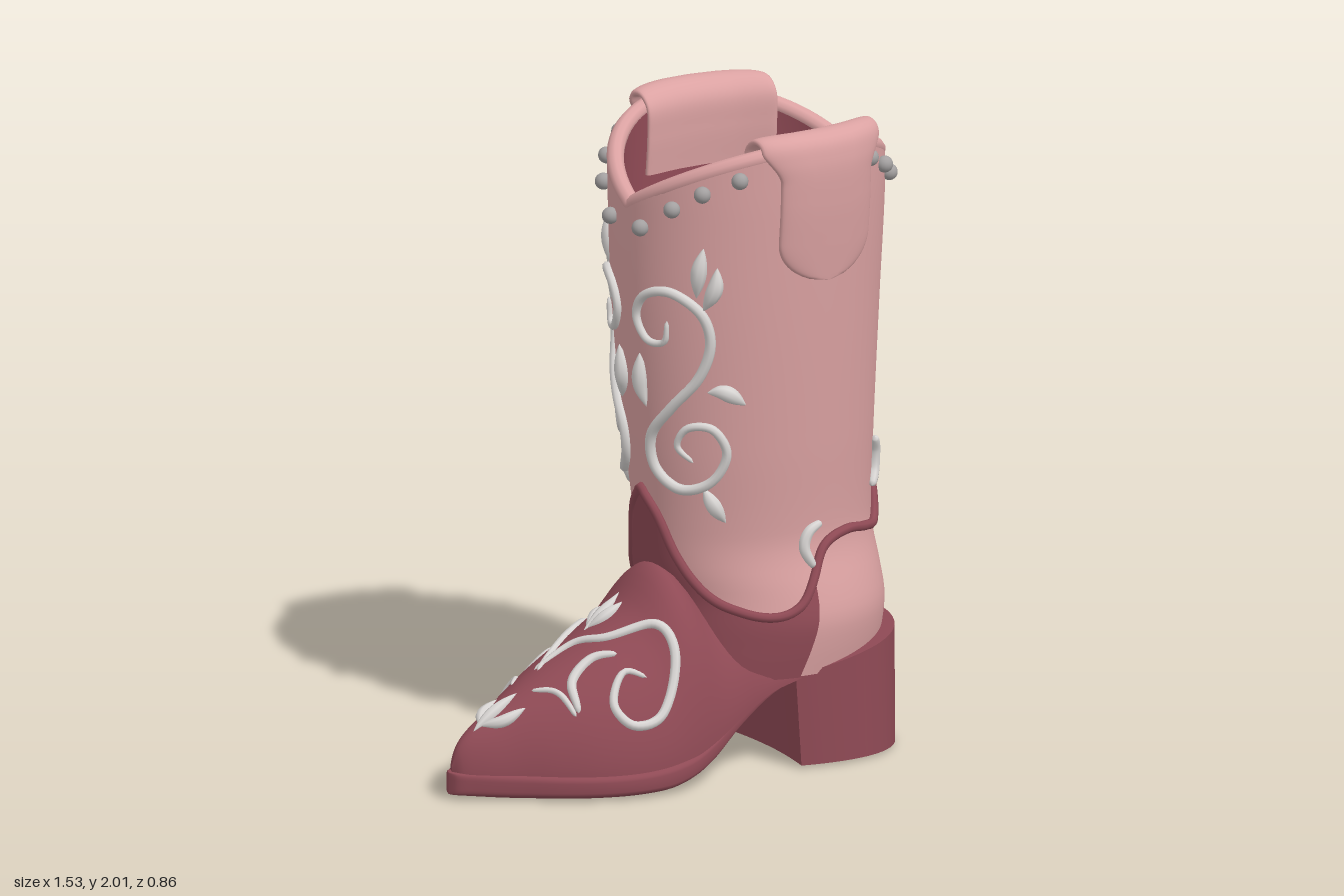
import * as THREE from 'three';
import { toCreasedNormals } from 'three/addons/utils/BufferGeometryUtils.js';

const mat = (name, color) => Object.assign(new THREE.MeshStandardMaterial({ color }), { name });
const V = (x, y, z) => new THREE.Vector3(x, y, z);
const RAD = Math.PI / 180;
const spow = (a, p) => Math.sign(a) * Math.abs(a) ** p;

// Smooth interpolation through [position, value] pairs
function smooth(p) {
  const slope = i => {
    const a = p[Math.max(i - 1, 0)], b = p[Math.min(i + 1, p.length - 1)];
    return (b[1] - a[1]) / (b[0] - a[0]);
  };
  return x => {
    x = Math.min(Math.max(x, p[0][0]), p[p.length - 1][0]);
    let i = 0;
    while (i < p.length - 2 && x > p[i + 1][0]) i++;
    const d = p[i + 1][0] - p[i][0], t = (x - p[i][0]) / d;
    return p[i][1] * (1 + 2 * t) * (1 - t) ** 2 + slope(i) * d * t * (1 - t) ** 2
      + p[i + 1][1] * t * t * (3 - 2 * t) + slope(i + 1) * d * t * t * (t - 1);
  };
}

// Surface from a function of u, v in 0..1; wrap closes it along u
function surface(fn, nu, nv, wrap = false) {
  const pos = [], idx = [], cols = wrap ? nu : nu + 1;
  for (let j = 0; j <= nv; j++)
    for (let i = 0; i < cols; i++) pos.push(...fn(i / nu, j / nv).toArray());
  for (let j = 0; j < nv; j++)
    for (let i = 0; i < nu; i++) {
      const a = j * cols + i, b = j * cols + (i + 1) % cols;
      idx.push(a, b, a + cols, b, b + cols, a + cols);
    }
  const g = new THREE.BufferGeometry();
  g.setAttribute('position', new THREE.Float32BufferAttribute(pos, 3));
  g.setIndex(idx);
  g.computeVertexNormals();
  return g;
}

// Tube of varying radius along a curve
function taperTube(curve, radius, n) {
  const f = curve.computeFrenetFrames(n);
  return surface((u, v) => {
    const i = Math.round(v * n), a = u * 2 * Math.PI, r = radius(v);
    return curve.getPointAt(v).addScaledVector(f.normals[i], r * Math.cos(a))
      .addScaledVector(f.binormals[i], r * Math.sin(a));
  }, 8, n, true);
}

// Leg: front x, back x and half depth by height
const front = smooth([[0.29, -0.03], [0.5, 0], [0.62, -0.02], [0.8, -0.04], [1, -0.065], [1.4, -0.1], [1.75, -0.11], [1.96, -0.11]]);
const back = smooth([[0.29, 0.735], [0.38, 0.75], [0.46, 0.755], [0.55, 0.745], [0.7, 0.725], [1, 0.73], [1.4, 0.745], [1.75, 0.76], [1.96, 0.755]]);
const depth = smooth([[0.29, 0.345], [0.38, 0.36], [0.46, 0.365], [0.55, 0.345], [0.65, 0.315], [0.72, 0.307], [1, 0.33], [1.4, 0.36], [1.75, 0.38], [1.96, 0.385]]);
// Point on the leg; angle runs from the toe side round by +z
function leg(a, y, off = 0) {
  const f = front(y), b = back(y);
  return V((f + b) / 2 - ((b - f) / 2 + off) * Math.cos(a), y, (depth(y) + off) * Math.sin(a));
}
const rimY = a => 1.75 + 0.2 * Math.abs(Math.sin(a));
const seam = smooth([[0, 0.86], [12, 0.78], [22, 0.66], [34, 0.55], [50, 0.5], [66, 0.485], [78, 0.515], [88, 0.59], [98, 0.68], [113, 0.71], [130, 0.695], [145, 0.69], [162, 0.77], [180, 0.85]]);

// Foot and sole profiles along x
const soleW = smooth([[-0.77, 0], [-0.76, 0.028], [-0.72, 0.062], [-0.6, 0.15], [-0.5, 0.225], [-0.4, 0.285], [-0.3, 0.323], [-0.2, 0.338], [-0.1, 0.333], [0, 0.315], [0.1, 0.302], [0.2, 0.315], [0.42, 0.32]]);
const soleBottom = smooth([[-0.77, 0.012], [-0.6, 0], [-0.2, 0], [-0.1, 0.02], [0, 0.065], [0.1, 0.14], [0.2, 0.22], [0.3, 0.262], [0.42, 0.27]]);
const soleTop = smooth([[-0.77, 0.08], [-0.3, 0.085], [-0.1, 0.108], [0, 0.145], [0.1, 0.205], [0.2, 0.268], [0.3, 0.295], [0.42, 0.31]]);
const footW = smooth([[-0.757, 0], [-0.745, 0.03], [-0.7, 0.068], [-0.6, 0.135], [-0.5, 0.208], [-0.4, 0.268], [-0.3, 0.306], [-0.2, 0.322], [-0.1, 0.32], [0, 0.314], [0.1, 0.315], [0.2, 0.335], [0.3, 0.338], [0.36, 0.3]]);
const footTop = smooth([[-0.757, 0.1], [-0.74, 0.15], [-0.7, 0.195], [-0.6, 0.255], [-0.45, 0.34], [-0.3, 0.42], [-0.15, 0.51], [-0.06, 0.61], [-0.01, 0.62], [0.06, 0.55], [0.15, 0.51], [0.36, 0.5]]);
const footZ = smooth([[-0.77, 0.035], [-0.1, 0.033], [0.1, 0.015], [0.25, 0], [0.42, 0]]);
function vamp(x, z) {
  const u = Math.min(Math.abs((z - footZ(x)) / footW(x)), 0.98), b = soleTop(x) - 0.015;
  return V(x, b + (footTop(x) - b) * (1 - u * u) ** 0.6, z);
}

export function createModel() {
  const boot = new THREE.Group();
  boot.name = 'boot';
  const pink = mat('pink leather', 0xdba2a2), red = mat('dark red leather', 0x8f4a55);
  const white = mat('white embroidery', 0xd8d5d3), metal = mat('grey stud', 0xa3a0a0);
  const add = (name, geo, material) => {
    const m = new THREE.Mesh(geo, material);
    m.name = name;
    boot.add(m);
    return m;
  };
  const TAU = Math.PI * 2;

  // Shaft, lining and rolled rim
  add('shaft', surface((u, v) => leg(u * TAU, 0.29 + (rimY(u * TAU) - 0.29) * v), 96, 60, true), pink);
  add('lining', surface((u, v) => leg(u * TAU, rimY(u * TAU) + (0.55 - rimY(u * TAU)) * v, -0.05), 96, 24, true), red);
  const floor = add('insole', new THREE.CircleGeometry(1, 48).rotateX(-Math.PI / 2).scale(0.335, 1, 0.3), red);
  floor.position.set(0.36, 0.56, 0);
  const loop = fn => new THREE.CatmullRomCurve3(Array.from({ length: 120 }, (_, i) => fn(i / 120 * TAU)), true);
  add('rim', new THREE.TubeGeometry(loop(a => leg(a, rimY(a), -0.025)), 240, 0.027, 10, true), pink);

  // Vamp collar and the piping along the seam
  const seamY = a => seam(Math.abs(a > Math.PI ? a - TAU : a) / RAD);
  add('vampCollar', surface((u, v) => {
    const a = (u * 2 - 1) * (81 + 7 * v) * RAD;
    return leg(a, 0.29 + (seamY(a) - 0.29) * v, 0.012);
  }, 80, 24), Object.assign(red.clone(), { name: 'dark red collar', side: THREE.DoubleSide }));
  add('seamPiping', new THREE.TubeGeometry(loop(a => leg(a, seamY(a), 0.008)), 240, 0.015, 8, true), red);

  // Foot, sole and heel
  add('vamp', surface((u, v) => {
    const x = -0.757 + 1.117 * v ** 1.5, a = u * Math.PI, b = soleTop(x) - 0.015;
    return V(x, b + (footTop(x) - b) * Math.abs(Math.sin(a)) ** 1.2, footZ(x) - Math.max(footW(x), 0) * Math.cos(a));
  }, 40, 60), red);
  add('sole', surface((u, v) => {
    const x = -0.77 + 1.19 * v ** 1.5, a = u * TAU, lo = soleBottom(x), hi = soleTop(x);
    return V(x, (lo + hi) / 2 + (hi - lo) / 2 * spow(Math.sin(a), 0.5),
      footZ(x) - Math.max(soleW(x), 0) * spow(Math.cos(a), 0.3));
  }, 48, 60, true), red);
  const outline = new THREE.Shape();
  outline.moveTo(0.29, -0.33);
  outline.bezierCurveTo(0.48, -0.38, 0.76, -0.39, 0.76, 0);
  outline.bezierCurveTo(0.76, 0.39, 0.48, 0.38, 0.29, 0.33);
  outline.quadraticCurveTo(0.37, 0, 0.29, -0.33);
  const heel = new THREE.ExtrudeGeometry(outline, { depth: 1, bevelEnabled: false, curveSegments: 24 }).rotateX(Math.PI / 2);
  const hp = heel.attributes.position;
  for (let i = 0; i < hp.count; i++) {
    const x = hp.getX(i), h = hp.getY(i) + 1;
    hp.setXYZ(i, x + (1 - h) * 0.02 * (0.76 - x) / 0.47, 0.005 + h * (0.287 + (x - 0.29) * 0.19), hp.getZ(i));
  }
  add('heel', toCreasedNormals(heel, 0.7), red);

  // Pull straps folded over the rim
  for (const s of [1, -1]) {
    const path = new THREE.CatmullRomCurve3([[1.74, 0.31], [1.86, 0.3], [1.95, 0.305], [1.983, 0.345], [1.975, 0.39],
      [1.92, 0.408], [1.8, 0.408], [1.66, 0.396], [1.54, 0.382]].map(([y, z]) => V(0, y, s * z)));
    add('pullStrap', surface((u, v) => {
      const p = path.getPointAt(v), t = path.getTangentAt(v), a = u * TAU, out = v > 0.45;
      let w = 0.168 + 0.06 * THREE.MathUtils.smoothstep(p.y, 1.86, 1.98);
      if (out && p.y < 1.67) w *= Math.sqrt(Math.max(0, 1 - ((1.67 - p.y) / 0.13) ** 2));
      if (!out) w = 0.22;
      const h = 0.019 * spow(Math.sin(a), 0.7);
      const x = 0.365 + w * spow(Math.cos(a), 0.5);
      const bend = 0.39 * (1 - Math.sqrt(1 - ((x - 0.325) / 0.46) ** 2));
      return V(x, p.y + t.z * h, p.z - t.y * h - s * bend);
    }, 40, 70, true), pink);
  }

  // Embroidery: flat strokes laid on a surface
  const stroke = (name, pts, place, r, leaf) => {
    const flat = new THREE.CatmullRomCurve3(pts.map(([a, b]) => V(a, b, 0)), false, 'catmullrom');
    const c = new THREE.CatmullRomCurve3(flat.getPoints(pts.length * 5).map(p => place(p.x, p.y)));
    add(name, taperTube(c, t => r * Math.max(Math.sin(Math.PI * t), 0) ** (leaf ? 0.9 : 0.25), pts.length * 8), white);
  };
  for (const s of [1, -1]) {
    const onLeg = (deg, y) => leg(s * deg * RAD, y, 0.008);
    stroke('shaftScroll', [[26, 1.42], [24, 1.35], [14, 1.35], [8, 1.42], [14, 1.49], [28, 1.51], [42, 1.45], [46, 1.35],
      [40, 1.24], [26, 1.14], [13, 1.04], [14, 0.94], [28, 0.88], [44, 0.91], [52, 1], [46, 1.08], [34, 1.08], [28, 1.02], [36, 0.97]], onLeg, 0.017);
    for (const l of [[[40, 1.5], [41, 1.58], [43, 1.66]], [[43, 1.46], [48, 1.53], [49, 1.6]], [[44, 1.2], [52, 1.2], [61, 1.16]],
      [[40, 0.89], [44, 0.84], [50, 0.78]], [[11, 1.13], [8, 1.2], [9, 1.3]]]) stroke('shaftLeaf', l, onLeg, 0.025, true);
    stroke('backComma', [[142, 0.8], [150, 0.84], [151, 0.9], [146, 0.95]], onLeg, 0.018);
    stroke('sideComma', [[90, 0.62], [87, 0.68], [90, 0.73], [97, 0.755]], onLeg, 0.018);

    // Studs under the rim
    for (const [x, y] of [[-0.105, 1.7], [-0.06, 1.775], [0, 1.83], [0.09, 1.875], [0.55, 1.88], [0.64, 1.83], [0.7, 1.78]]) {
      const a = Math.acos(Math.min(1, (0.325 - x) / 0.44));
      add('stud', new THREE.SphereGeometry(0.026, 16, 12), metal).position.copy(leg(s * a, y, 0.012));
    }
  }
  for (const p of [
    [[-0.24, -0.18], [-0.3, -0.15], [-0.36, -0.18], [-0.34, -0.23], [-0.25, -0.26], [-0.15, -0.25], [-0.13, -0.19], [-0.2, -0.12], [-0.32, -0.05], [-0.44, 0.02]],
    [[-0.44, 0], [-0.32, 0.02], [-0.25, 0.1], [-0.13, 0.17], [-0.1, 0.26], [-0.18, 0.32], [-0.28, 0.31], [-0.32, 0.26], [-0.26, 0.22], [-0.2, 0.26]],
    [[-0.42, 0.22], [-0.4, 0.15], [-0.32, 0.13], [-0.25, 0.17]],
    [[-0.48, -0.16], [-0.45, -0.09], [-0.5, -0.03]],
    [[-0.5, 0.08], [-0.45, 0.14], [-0.43, 0.22]],
  ]) stroke('vampScroll', p, vamp, p.length > 3 ? 0.016 : 0.01);
  for (const p of [[[-0.67, 0.05], [-0.62, 0], [-0.56, -0.02]], [[-0.69, 0.05], [-0.61, 0.045], [-0.53, 0.045]], [[-0.67, 0.05], [-0.61, 0.09], [-0.54, 0.11]],
    [[-0.25, 0], [-0.19, -0.04], [-0.15, -0.07]], [[-0.26, 0], [-0.19, -0.01], [-0.12, -0.02]], [[-0.25, 0], [-0.2, 0.02], [-0.14, 0.03]]])
    stroke('vampLeaf', p, vamp, 0.02, true);
  return boot;
}
